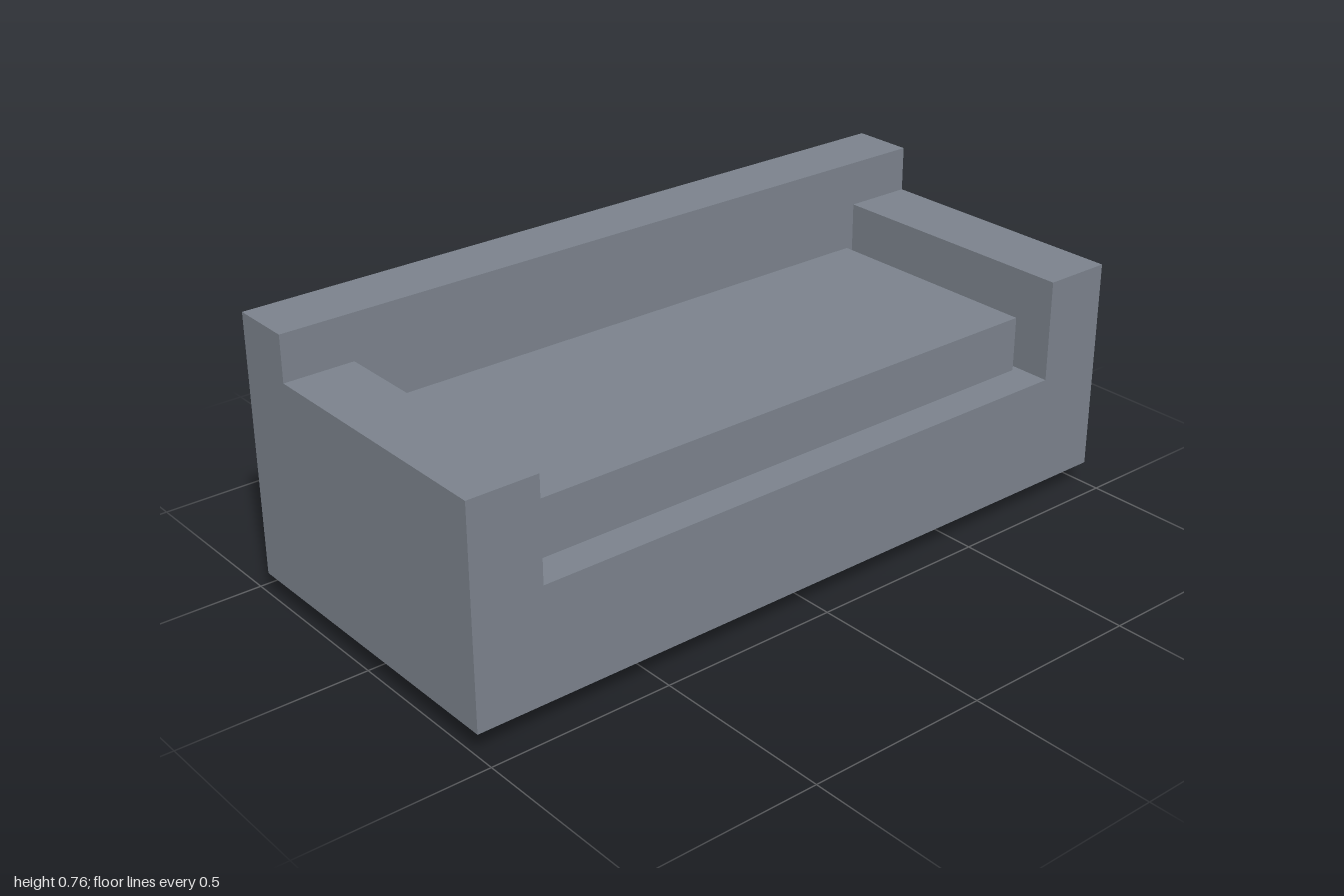
import * as THREE from 'three';

const fabric = new THREE.MeshStandardMaterial({ color: 0x7b828c });
const dark = new THREE.MeshStandardMaterial({ color: 0x333336 });

const BOTTOM = 0.06, SEAT = 0.365, ARM = 0.64, TOP = 0.763;
const FRONT = 0.452, BACK = -0.452, BACK_FACE = -0.283, INNER = 0.81;

// Box given by its lower and upper corners
function box(name, [x0, y0, z0], [x1, y1, z1]) {
  const mesh = new THREE.Mesh(new THREE.BoxGeometry(x1 - x0, y1 - y0, z1 - z0), fabric);
  mesh.position.set((x0 + x1) / 2, (y0 + y1) / 2, (z0 + z1) / 2);
  mesh.name = name;
  return mesh;
}

export function createModel() {
  const sofa = new THREE.Group();
  sofa.name = 'sofa';

  // Base and both armrests as one U-shaped section, extruded along the depth
  const section = new THREE.Shape([
    [-1, BOTTOM], [1, BOTTOM], [1, ARM], [INNER, ARM],
    [INNER, SEAT], [-INNER, SEAT], [-INNER, ARM], [-1, ARM],
  ].map(([x, y]) => new THREE.Vector2(x, y)));
  const frame = new THREE.Mesh(
    new THREE.ExtrudeGeometry(section, { depth: FRONT - BACK_FACE, bevelEnabled: false }), fabric);
  frame.position.z = BACK_FACE;
  frame.name = 'baseAndArmrests';
  sofa.add(frame);

  // Full-width backrest and seat cushion
  sofa.add(box('backrest', [-1, BOTTOM, BACK], [1, TOP, BACK_FACE]));
  sofa.add(box('seatCushion', [-0.79, SEAT, BACK_FACE], [0.79, 0.515, 0.355]));

  // Four short round legs
  const legGeometry = new THREE.CylinderGeometry(0.028, 0.028, BOTTOM, 24);
  for (const x of [-1, 1]) {
    for (const z of [-1, 1]) {
      const leg = new THREE.Mesh(legGeometry, dark);
      leg.position.set(x * 0.83, BOTTOM / 2, z * 0.282);
      leg.name = `${z > 0 ? 'front' : 'back'}${x > 0 ? 'Left' : 'Right'}Leg`;
      sofa.add(leg);
    }
  }
  return sofa;
}
